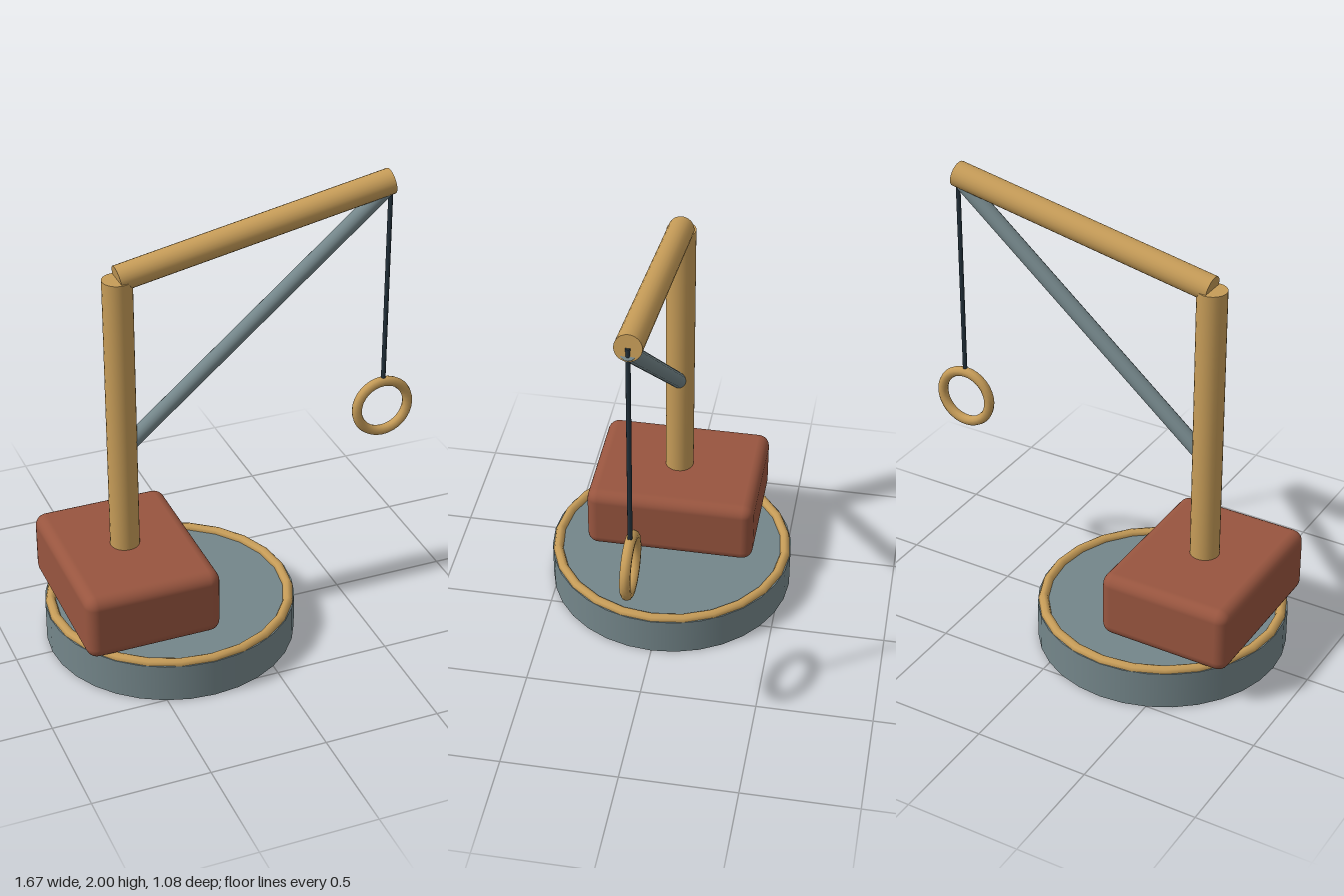
import * as THREE from 'three';
import { RoundedBoxGeometry } from 'three/addons/geometries/RoundedBoxGeometry.js';

const material = (color) => new THREE.MeshStandardMaterial({ color });

export function createModel() {
  const group = new THREE.Group();
  const wood = material(0xc69c58);
  const steel = material(0x74868a);
  const brick = material(0x98553f);
  const dark = material(0x22303a);

  function add(name, geometry, mat, x, y, z = 0) {
    const mesh = new THREE.Mesh(geometry, mat);
    mesh.name = name;
    mesh.position.set(x, y, z);
    group.add(mesh);
    return mesh;
  }

  // Round bar between two points in the z = 0 plane
  function bar(name, mat, radius, x1, y1, x2, y2, sides = 24) {
    const length = Math.hypot(x2 - x1, y2 - y1);
    const geometry = new THREE.CylinderGeometry(radius, radius, length, sides);
    const mesh = add(name, geometry, mat, (x1 + x2) / 2, (y1 + y2) / 2);
    mesh.rotation.z = Math.atan2(y2 - y1, x2 - x1) - Math.PI / 2;
  }

  // Round base with a wooden rim
  add('base', new THREE.CylinderGeometry(0.54, 0.54, 0.17, 32), steel, -0.3, 0.085);
  const rim = add('baseRim', new THREE.TorusGeometry(0.515, 0.022, 8, 24), wood, -0.3, 0.17);
  rim.rotation.x = Math.PI / 2;

  // Counterweight block
  add('counterweight', new RoundedBoxGeometry(0.59, 0.295, 0.75, 3, 0.05), brick, -0.495, 0.33);

  // Frame: post, boom and diagonal brace
  bar('post', wood, 0.063, -0.497, 0.2, -0.497, 1.717);
  bar('boom', wood, 0.055, -0.497, 1.72, 0.69, 1.945);
  bar('brace', steel, 0.034, -0.462, 0.961, 0.685, 1.925, 16);

  // Hanging rope and ring
  bar('rope', dark, 0.01, 0.69, 1.01, 0.69, 1.945, 10);
  add('hangingRing', new THREE.TorusGeometry(0.12, 0.022, 10, 32), wood, 0.69, 0.89);

  return group;
}
